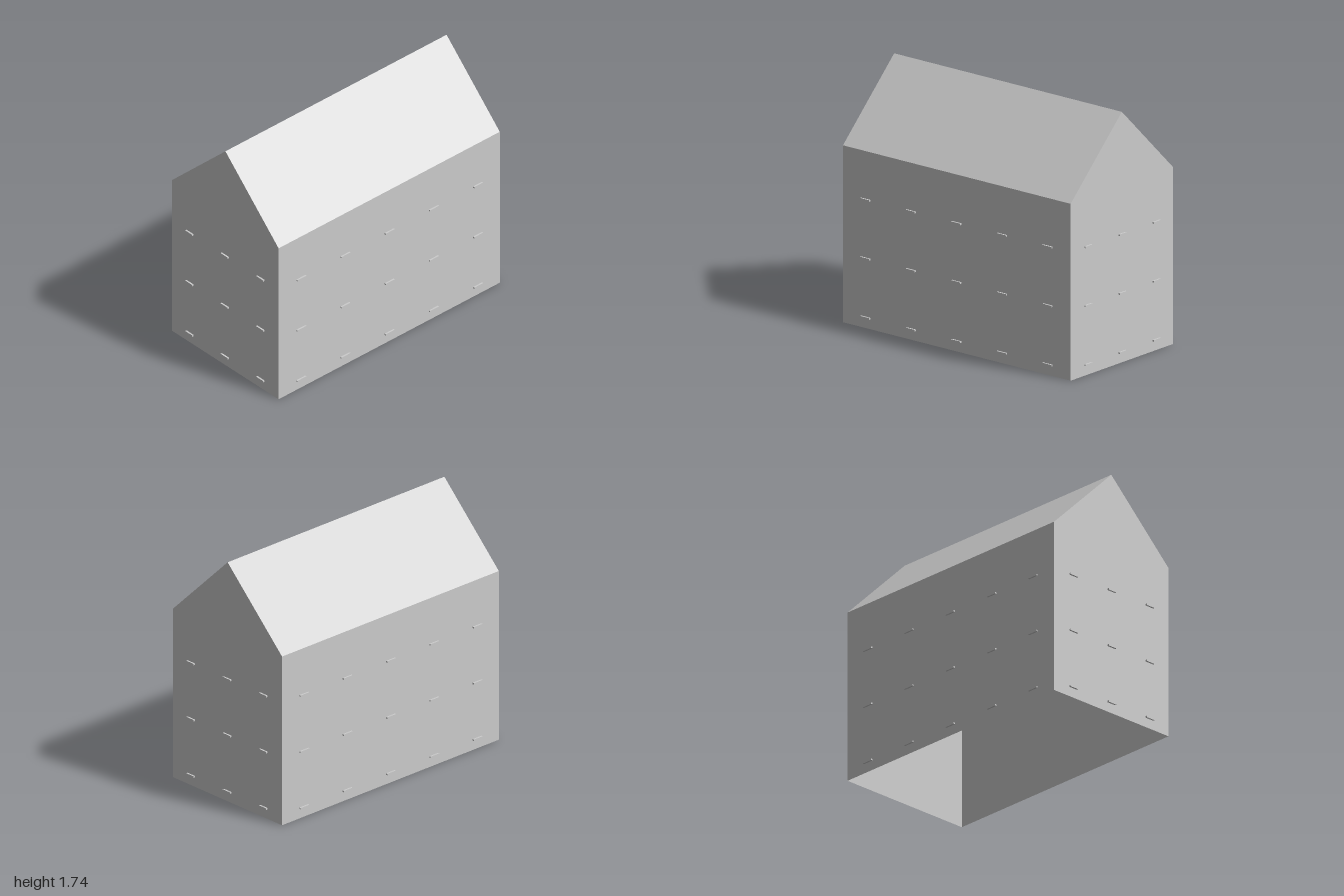
import * as THREE from 'three';

const W = 0.988, D = 0.525, EAVE = 1.23, RIDGE = 1.742;

// One flat, double-sided panel from a fan of corners
function panel(name, corners, material) {
  const pos = [];
  for (let i = 1; i < corners.length - 1; i++) {
    pos.push(...corners[0], ...corners[i], ...corners[i + 1]);
  }
  const geo = new THREE.BufferGeometry();
  geo.setAttribute('position', new THREE.Float32BufferAttribute(pos, 3));
  geo.computeVertexNormals();
  const mesh = new THREE.Mesh(geo, material);
  mesh.name = name;
  return mesh;
}

export function createModel() {
  const house = new THREE.Group();
  house.name = 'house';
  const plaster = new THREE.MeshStandardMaterial({ color: 0xcccccc, side: THREE.DoubleSide });
  plaster.name = 'plain grey';

  for (const s of [1, -1]) {
    // Long wall and roof slope on each side of the ridge; the shell is open below
    house.add(panel(s > 0 ? 'frontWall' : 'backWall', [
      [-s * W, 0, s * D], [s * W, 0, s * D], [s * W, EAVE, s * D], [-s * W, EAVE, s * D],
    ], plaster));
    house.add(panel(s > 0 ? 'frontRoof' : 'backRoof', [
      [-s * W, EAVE, s * D], [s * W, EAVE, s * D], [s * W, RIDGE, 0], [-s * W, RIDGE, 0],
    ], plaster));
    // Gable end
    house.add(panel(s > 0 ? 'leftGable' : 'rightGable', [
      [s * W, 0, s * D], [s * W, 0, -s * D], [s * W, EAVE, -s * D],
      [s * W, RIDGE, 0], [s * W, EAVE, s * D],
    ], plaster));
  }

  // Window sills: three storeys, five per long wall and three per gable
  const sills = new THREE.Group();
  sills.name = 'windowSills';
  const longSill = new THREE.BoxGeometry(0.08, 0.011, 0.012);
  const gableSill = new THREE.BoxGeometry(0.012, 0.011, 0.07);
  const addSill = (geo, x, y, z) => {
    const sill = new THREE.Mesh(geo, plaster);
    sill.name = 'windowSill';
    sill.position.set(x, y, z);
    sills.add(sill);
  };
  for (const y of [0.074, 0.485, 0.894]) {
    for (const s of [1, -1]) {
      for (let i = -2; i <= 2; i++) addSill(longSill, i * 0.395, y, s * (D + 0.006));
      for (let i = -1; i <= 1; i++) addSill(gableSill, s * (W + 0.006), y, i * 0.35);
    }
  }
  house.add(sills);
  return house;
}
